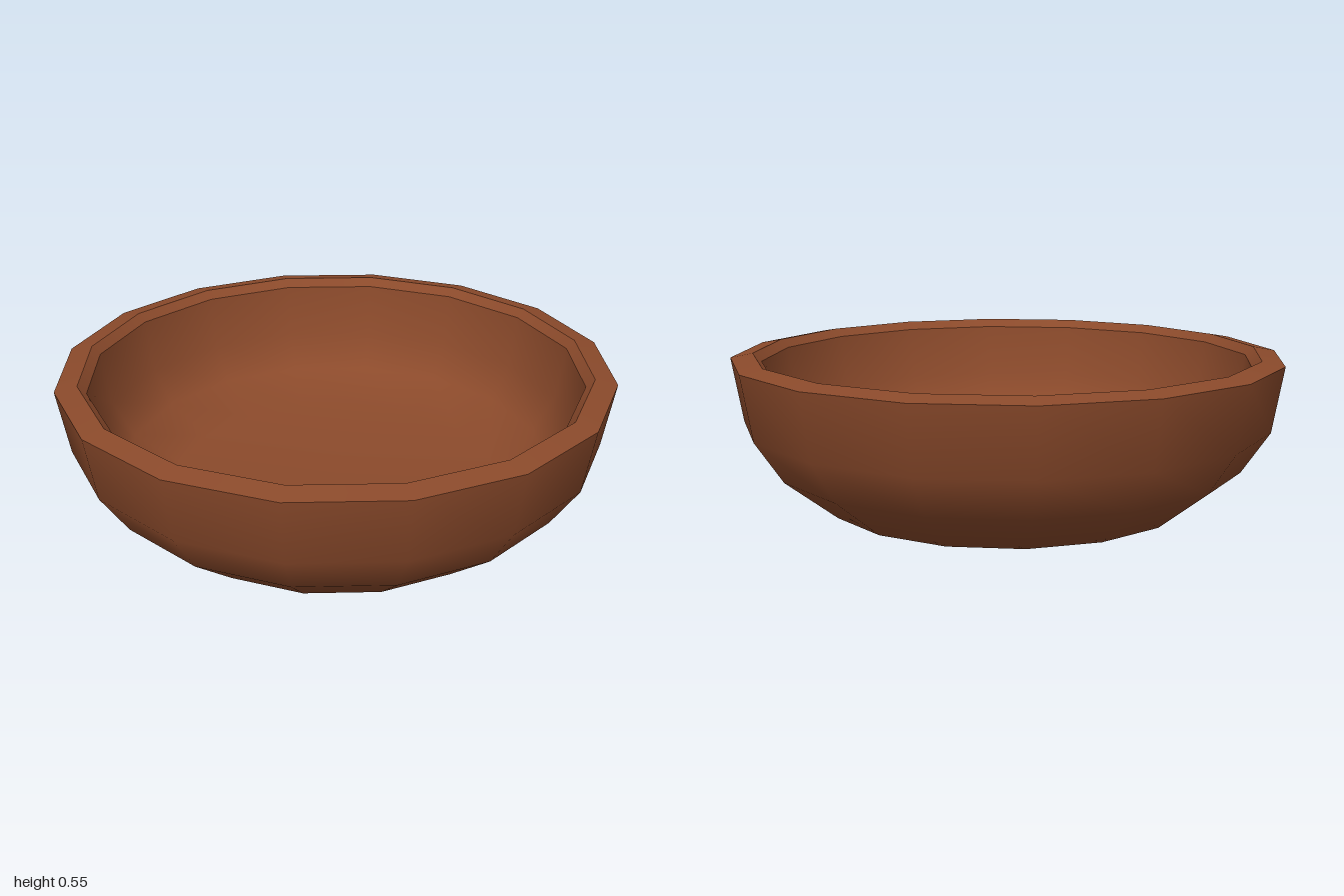
import * as THREE from 'three';

const SIDES = 16;

export function createModel() {
  const bowl = new THREE.Group();
  bowl.name = 'bowl';
  const clay = new THREE.MeshStandardMaterial({ color: 0x8b4a2b });

  // Each profile runs from the underside centre, over the rim, to the inner floor;
  // separate lathes keep the rim edges sharp while the walls stay smooth.
  const turn = (name, profile) => {
    const points = profile.map(([r, y]) => new THREE.Vector2(r, y));
    const mesh = new THREE.Mesh(new THREE.LatheGeometry(points, SIDES), clay);
    mesh.name = name;
    bowl.add(mesh);
  };

  // Flat base flowing into the curved outer wall
  turn('outerShell', [[0, 0], [0.67, 0], [0.86, 0.15], [0.96, 0.3], [1, 0.535]]);
  // Gently sloped top of the rim
  turn('rim', [[1, 0.535], [0.92, 0.55]]);
  // Small bevel inside the rim
  turn('innerLip', [[0.92, 0.55], [0.89, 0.52]]);
  // Inner wall and floor
  turn('innerBowl', [[0.89, 0.52], [0.86, 0.32], [0.78, 0.19], [0.61, 0.09], [0, 0.09]]);

  return bowl;
}
